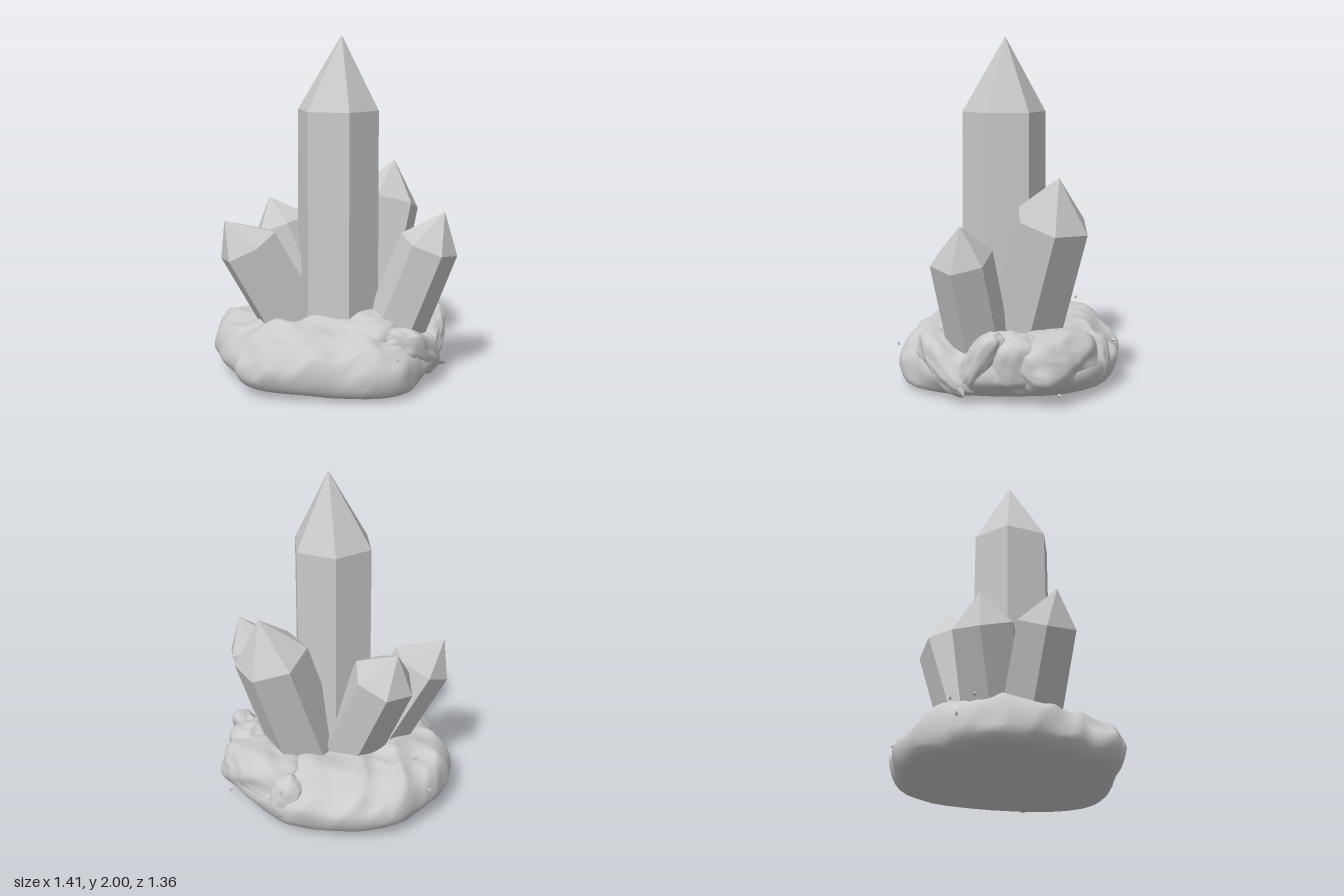
import * as THREE from 'three';
import { mergeVertices } from 'three/addons/utils/BufferGeometryUtils.js';

const V = (x, y, z) => new THREE.Vector3(x, y, z);

// Lumpy stone relief with creases, roughly -1 to 1
function relief(x, y, z) {
  const a = Math.sin(7 * x + 3 * z + 1.3) * Math.cos(6 * z - 4 * y + 0.4);
  const b = Math.sin(15 * z - 6 * x + 11 * y) * Math.cos(13 * x + 8 * y + 2.1);
  const c = 1 - 2 * Math.abs(Math.sin(6 * x - 9 * z + 8 * y + 0.7 + 0.8 * a));
  const d = 1 - 2 * Math.abs(Math.sin(12 * x + 10 * z - 9 * y + b));
  return 0.35 * a + 0.25 * b + 0.22 * c + 0.18 * d;
}

// Six-sided prism with a pointed tip; corner is the xz direction of one edge
function crystalGeometry({ shoulder, axis, tip, radius, corner }) {
  const dir = V(...axis).normalize();
  const top = V(...shoulder);
  const apex = V(...tip);
  const foot = top.clone().addScaledVector(dir, (0.15 - top.y) / dir.y);
  // lift the corner direction into the plane across the axis
  const u = V(corner[0], -(corner[0] * dir.x + corner[1] * dir.z) / dir.y, corner[1]).normalize();
  const w = u.clone().cross(dir);
  const ring = (c, r, i) => {
    const a = i * Math.PI / 3;
    return c.clone().addScaledVector(u, r * Math.cos(a)).addScaledVector(w, r * Math.sin(a));
  };
  const pts = [];
  for (let i = 0; i < 6; i++) {
    const a = ring(foot, radius * 1.03, i), b = ring(foot, radius * 1.03, i + 1);
    const c = ring(top, radius, i + 1), d = ring(top, radius, i);
    pts.push(a, c, b, a, d, c, d, apex, c, a, b, foot);
  }
  const geo = new THREE.BufferGeometry().setFromPoints(pts);
  geo.computeVertexNormals();
  return geo;
}

// Wide rock: an uneven outline swept through a sloping side profile
function baseGeometry() {
  const outline = new THREE.CatmullRomCurve3([
    [0.1, -0.67], [0.22, -0.64], [0.38, -0.52], [0.51, -0.4], [0.59, -0.28], [0.65, -0.1],
    [0.66, 0.06], [0.64, 0.23], [0.57, 0.34], [0.4, 0.46], [0.21, 0.56], [0.01, 0.675],
    [-0.11, 0.7], [-0.2, 0.665], [-0.27, 0.605], [-0.38, 0.545], [-0.5, 0.46], [-0.61, 0.36],
    [-0.675, 0.21], [-0.69, 0.06], [-0.69, -0.13], [-0.65, -0.23], [-0.575, -0.36],
    [-0.43, -0.485], [-0.22, -0.61], [-0.08, -0.65],
  ].map(([x, z]) => V(x, 0, z)), true);
  const profile = new THREE.CatmullRomCurve3([
    [0, 0.004], [0.5, 0.006], [0.84, 0.015], [0.94, 0.045], [0.99, 0.11], [1, 0.17], [0.97, 0.23],
    [0.89, 0.285], [0.75, 0.335], [0.55, 0.365], [0, 0.385],
  ].map(([r, y]) => V(r, y, 0)));
  const cols = 150, rows = 64, pos = [], index = [];
  const edge = outline.getSpacedPoints(cols);
  const side = profile.getSpacedPoints(rows);
  for (let j = 0; j <= rows; j++) {
    for (let i = 0; i < cols; i++) {
      const e = edge[i], s = side[j];
      const low = Math.max(0, 1 - s.y / 0.14) * s.x * s.x;
      const upper = Math.max(0, (s.y - 0.17) / 0.2);
      // foot: upright towards +x +z, undercut towards +x -z, raised towards -x +z
      const steep = 0.09 * low * Math.max(0, e.x) * (e.z > 0 ? 1 : Math.max(0, 1 + e.z * 5));
      const undercut = 0.7 * low * Math.max(0, (e.x - e.z) * 0.707 - 0.38);
      const raise = 0.045 * low * Math.max(0, (0.6 * e.z - e.x) / 0.7);
      // high shoulder on the -x side, one broad sloping face at the back of it
      const shoulder = 0.05 * Math.pow(Math.max(0, -e.x / 0.69), 4) * Math.sin(Math.PI * Math.min(1, upper));
      const slope = 0.045 * Math.max(0, -(e.x + e.z) - 0.6) / 0.33 * Math.sin(Math.PI * Math.min(1, upper * 0.9));
      const n = relief(e.x * s.x, s.y, e.z * s.x);
      const k = (s.x + steep - undercut) * (1 + 0.04 * n * Math.min(1, s.y / 0.05));
      const y = s.y + raise + shoulder - slope + 0.045 * n * Math.min(1, s.y / 0.25);
      pos.push(e.x * k, Math.max(0, y), e.z * k);
      if (j < rows) {
        const a = j * cols + i, b = j * cols + (i + 1) % cols;
        index.push(a, a + cols, b, b, a + cols, b + cols);
      }
    }
  }
  const geo = new THREE.BufferGeometry();
  geo.setAttribute('position', new THREE.Float32BufferAttribute(pos, 3));
  geo.setIndex(index);
  geo.computeVertexNormals();
  return geo;
}

// Smooth squarish boulder with the same relief
function boulderGeometry(seed, size) {
  let geo = new THREE.IcosahedronGeometry(1, 12);
  geo.deleteAttribute('normal');
  geo.deleteAttribute('uv');
  geo = mergeVertices(geo, 1e-4);
  const p = geo.attributes.position, v = V(0, 0, 0);
  for (let i = 0; i < p.count; i++) {
    v.fromBufferAttribute(p, i);
    const box = Math.pow(v.x ** 4 + v.y ** 4 + v.z ** 4, -0.25);
    const n = relief(v.x * 0.35 + seed, v.y * 0.35, v.z * 0.35 - seed);
    v.multiplyScalar((0.5 + 0.5 * box) * (1 + 0.12 * n));
    p.setXYZ(i, v.x * size[0], v.y * size[1], v.z * size[2]);
  }
  geo.computeVertexNormals();
  return geo;
}

export function createModel() {
  const model = new THREE.Group();
  model.name = 'crystalCluster';
  const stone = new THREE.MeshStandardMaterial({ color: 0xcacaca });
  stone.name = 'grey stone';
  const add = (name, geo, at = [0, 0, 0], turn = [0, 0, 0]) => {
    const mesh = new THREE.Mesh(geo, stone);
    mesh.name = name;
    mesh.position.set(...at);
    mesh.rotation.set(...turn);
    model.add(mesh);
  };

  // Crystals
  const crystals = {
    mainCrystal: { shoulder: [0.049, 1.575, 0], axis: [0, 1, 0], tip: [0.06, 2, -0.02], radius: 0.241, corner: [0.045, -0.24] },
    backCrystal: { shoulder: [0.112, 0.99, -0.435], axis: [0.04, 1, -0.35], tip: [0.136, 1.235, -0.5], radius: 0.217, corner: [0.216, 0.05] },
    leftCrystal: { shoulder: [0.563, 0.81, -0.18], axis: [0.36, 1, -0.12], tip: [0.63, 1, -0.24], radius: 0.174, corner: [0.01, -0.17] },
    rightCrystal: { shoulder: [-0.35, 0.85, 0.017], axis: [-0.44, 1, 0.06], tip: [-0.435, 1.02, 0.035], radius: 0.19, corner: [0.17, -0.065] },
    frontCrystal: { shoulder: [-0.322, 0.798, 0.385], axis: [-0.38, 1, 0.4], tip: [-0.41, 0.95, 0.485], radius: 0.182, corner: [0, -0.17] },
  };
  for (const [name, spec] of Object.entries(crystals)) add(name, crystalGeometry(spec));

  // Rock bed and the boulders set into it
  add('rockBase', baseGeometry());
  add('backBoulder', boulderGeometry(0.4, [0.29, 0.17, 0.2]), [0.14, 0.22, -0.475], [0.15, 0, 0]);
  add('cornerBoulder', boulderGeometry(1.7, [0.17, 0.17, 0.13]), [0.36, 0.23, -0.4], [-0.2, -0.65, 0.1]);
  add('leaningSlab', boulderGeometry(2.9, [0.11, 0.2, 0.08]), [0.5, 0.24, -0.28], [-0.5, -0.2, 0.12]);
  add('sideSlab', boulderGeometry(4.1, [0.13, 0.1, 0.24]), [0.53, 0.2, -0.05], [-0.6, 0.05, 0]);
  add('smallBoulder', boulderGeometry(6.2, [0.1, 0.13, 0.1]), [-0.12, 0.2, -0.54], [0.2, 0.5, 0]);
  add('crest', boulderGeometry(7.5, [0.2, 0.11, 0.18]), [0.29, 0.3, 0.08], [0.2, 0.3, -0.1]);

  // Pointed shard low on the side
  add('shard', new THREE.ConeGeometry(0.07, 0.26, 4).toNonIndexed(), [0.6, 0.12, -0.17], [-1.9, 0, -0.35]);

  // Loose chips
  const chips = [[-0.175, 0.3, -0.645], [0.285, 0.085, -0.645], [-0.695, 0.225, 0.05], [-0.557, 0.37, 0.08], [-0.49, 0.4, -0.1], [0.63, 0.26, 0.28]];
  chips.forEach((at, i) => add('chip', new THREE.OctahedronGeometry(0.013), at, [i, i * 2, 0]));
  return model;
}
